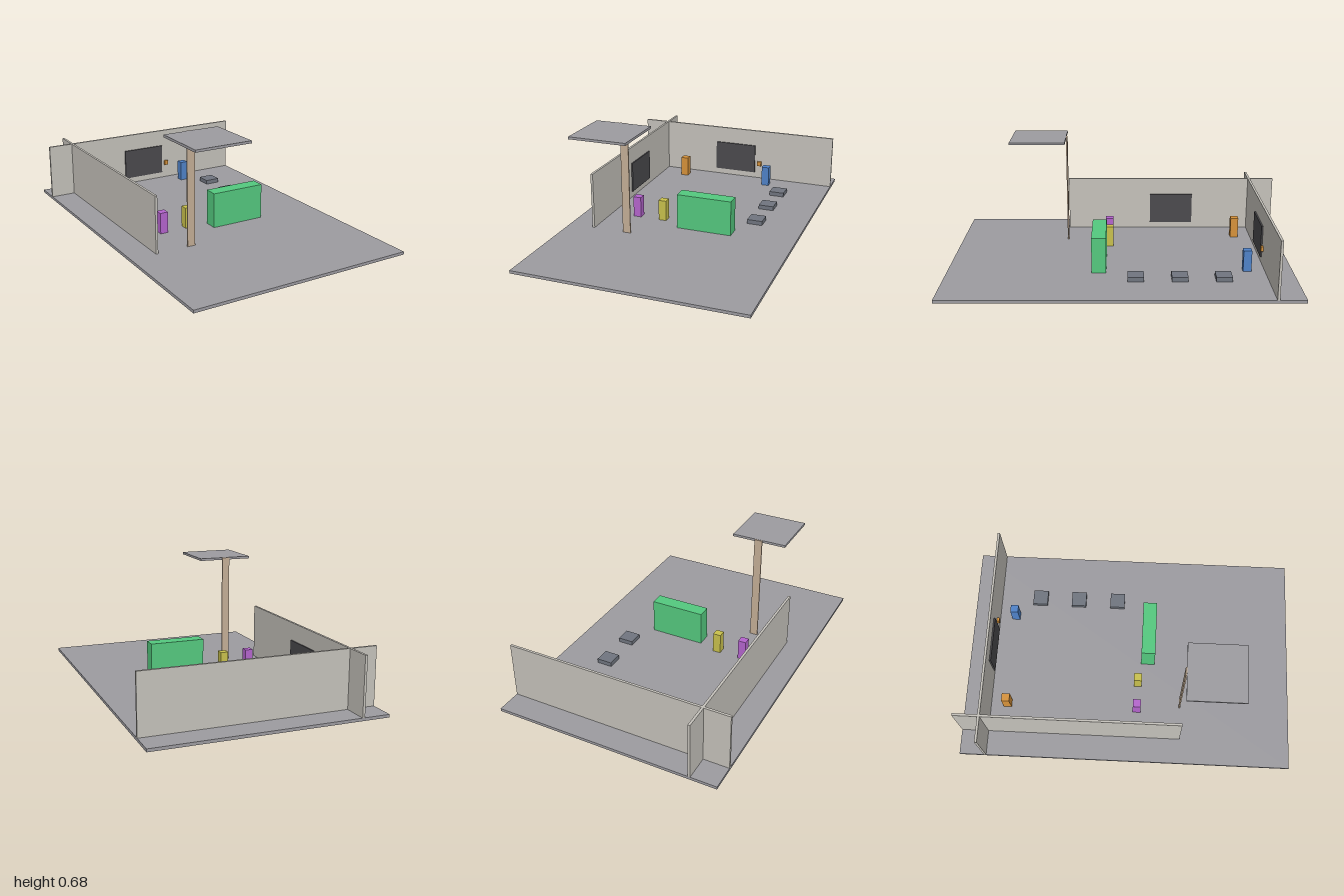
import * as THREE from 'three';

const material = (name, color) => {
  const m = new THREE.MeshStandardMaterial({ color });
  m.name = name;
  return m;
};

export function createModel() {
  const model = new THREE.Group();
  model.name = 'roomLayout';

  const floorGrey = material('floorGrey', 0x9c9ba0);
  const wallStone = material('wallStone', 0xc4c1ba);
  const boardBlack = material('boardBlack', 0x4a494d);
  const postTan = material('postTan', 0xc4ae96);
  const counterGreen = material('counterGreen', 0x54c87e);
  const padSlate = material('padSlate', 0x70757f);
  const orange = material('orange', 0xd6923a);
  const blue = material('blue', 0x4f82c8);
  const yellow = material('yellow', 0xc8c04c);
  const magenta = material('magenta', 0xb464cd);

  // Box given by its limits on each axis
  const box = (name, mat, [x0, x1], [y0, y1], [z0, z1]) => {
    const mesh = new THREE.Mesh(new THREE.BoxGeometry(x1 - x0, y1 - y0, z1 - z0), mat);
    mesh.position.set((x0 + x1) / 2, (y0 + y1) / 2, (z0 + z1) / 2);
    mesh.name = name;
    model.add(mesh);
  };

  const ground = 0.017;
  const wallY = [ground, 0.353];
  const boardY = [0.055, 0.247];

  // Floor and the two crossing walls
  box('floor', floorGrey, [-0.667, 0.667], [0, ground], [-1, 1]);
  box('backWall', wallStone, [-0.667, 0.667], wallY, [-0.852, -0.838]);
  box('sideWall', wallStone, [-0.517, -0.503], wallY, [-1, 0.333]);

  // Wall boards and the small fitting beside the back one
  box('backBoard', boardBlack, [-0.14, 0.138], boardY, [-0.838, -0.829]);
  box('sideBoard', boardBlack, [-0.503, -0.495], boardY, [-0.474, -0.199]);
  box('wallFitting', orange, [0.157, 0.183], [0.106, 0.136], [-0.838, -0.824]);

  // Post with a raised panel in front of its top
  box('signPost', postTan, [-0.318, -0.27], [ground, 0.683], [0.325, 0.333]);
  box('raisedPanel', floorGrey, [-0.46, -0.127], [0.67, 0.684], [0.333, 0.667]);

  // Counter
  box('counter', counterGreen, [-0.043, 0.29], [ground, 0.228], [0.08, 0.164]);

  // Standing figures
  const figures = [
    ['orangeFigure', orange, -0.335, -0.735],
    ['blueFigure', blue, 0.247, -0.735],
    ['magentaFigure', magenta, -0.335, 0.065],
    ['yellowFigure', yellow, -0.169, 0.065],
  ];
  for (const [name, mat, x, z] of figures) {
    box(name, mat, [x - 0.024, x + 0.024], [ground, 0.143], [z - 0.024, z + 0.024]);
  }

  // Row of low pads
  for (let i = 0; i < 3; i++) {
    const z = -0.587 + i * 0.249;
    box('floorPad' + (i + 1), padSlate, [0.327, 0.42], [ground, 0.043], [z - 0.046, z + 0.046]);
  }

  return model;
}
